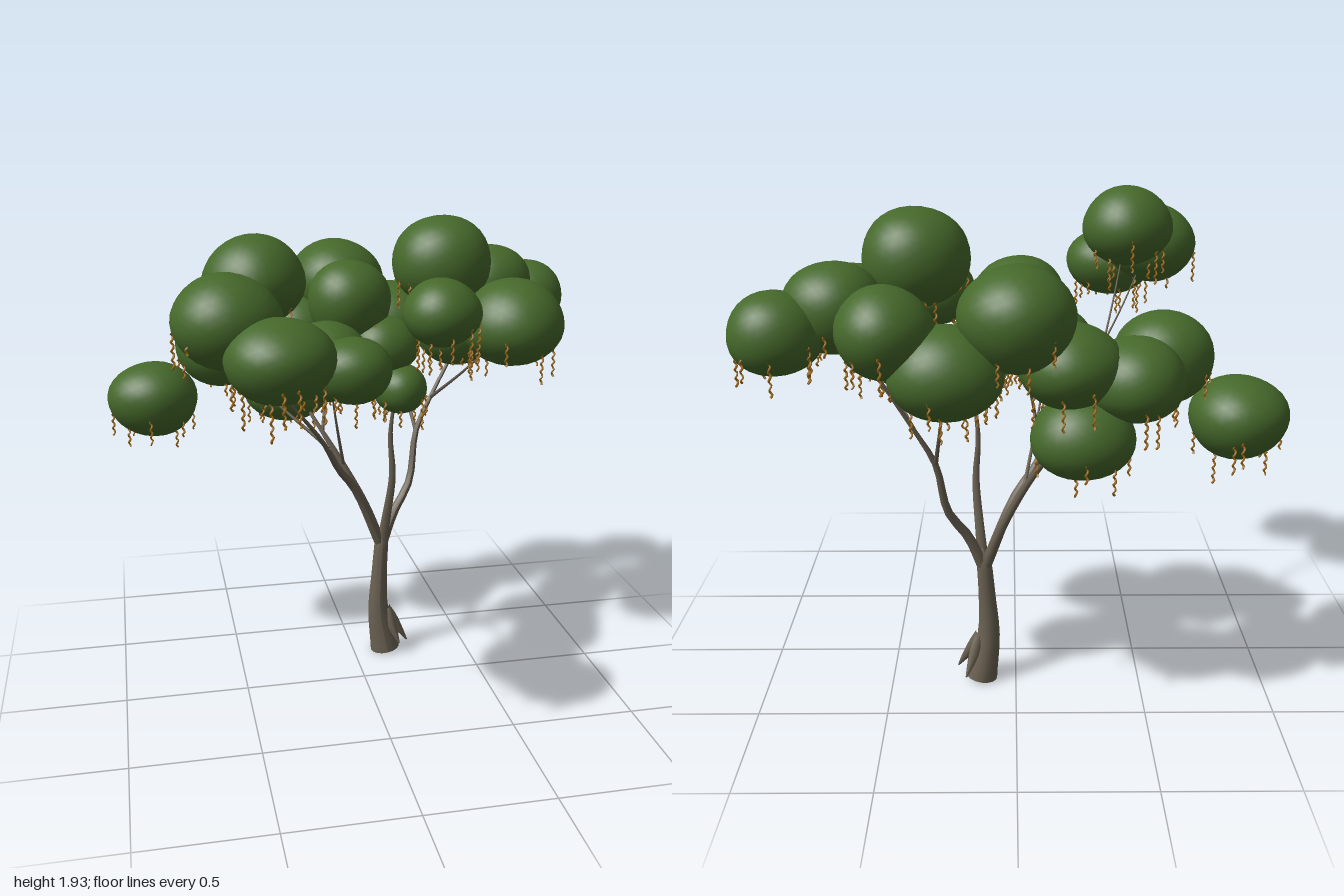
import * as THREE from 'three';
import { mergeVertices, mergeGeometries } from 'three/addons/utils/BufferGeometryUtils.js';

const { lerp } = THREE.MathUtils;
const curveThrough = (points) => new THREE.CatmullRomCurve3(points.map((p) => new THREE.Vector3(...p)));

// Seeded random numbers so the tree is always the same
function seeded(seed) {
  return () => {
    seed = (seed * 16807) % 2147483647;
    return seed / 2147483647;
  };
}

// Tube along a curve whose radius follows a rule of t, from 0 at the start to 1 at the end
function limbGeometry(curve, radius, sides = 7) {
  const steps = (curve.points.length - 1) * 4;
  const geo = new THREE.TubeGeometry(curve, steps, 1, sides, false);
  const pos = geo.attributes.position;
  const v = new THREE.Vector3();
  for (let i = 0; i <= steps; i++) {
    const t = curve.getUtoTmapping(i / steps);
    const centre = curve.getPoint(t);
    for (let j = 0; j <= sides; j++) {
      const n = i * (sides + 1) + j;
      v.fromBufferAttribute(pos, n).sub(centre).multiplyScalar(radius(t)).add(centre);
      pos.setXYZ(n, v.x, v.y, v.z);
    }
  }
  geo.computeVertexNormals();
  return geo;
}

// Slightly lumpy round leaf mass
function clumpGeometry(r, ry, phase) {
  let geo = new THREE.IcosahedronGeometry(1, 5);
  geo.deleteAttribute('normal');
  geo.deleteAttribute('uv');
  geo = mergeVertices(geo, 1e-4);
  const pos = geo.attributes.position;
  for (let i = 0; i < pos.count; i++) {
    const x = pos.getX(i), y = pos.getY(i), z = pos.getZ(i);
    const s = 1 + 0.02 * Math.sin(3 * x + phase) + 0.02 * Math.sin(3.5 * z + 2 * phase)
      + 0.015 * Math.sin(4 * y + 3 * phase);
    pos.setXYZ(i, x * s * r, y * s * ry, z * s * r);
  }
  geo.computeVertexNormals();
  return geo;
}

// Fringe of wavy strands hanging from the underside of a leaf mass
function vineGeometry([x, y, z, r, ry], rand) {
  const strands = [];
  for (let k = 0; k < 9; k++) {
    const a = (k + rand()) / 9 * Math.PI * 2;
    const d = 0.45 + 0.53 * Math.sqrt(rand());
    const top = [x + Math.cos(a) * d * r, y - Math.sqrt(1 - d * d) * ry + 0.01, z + Math.sin(a) * d * r];
    const length = 0.05 + 0.09 * rand();
    const bends = Math.ceil(length / 0.011);
    const path = [];
    for (let n = 0; n <= bends; n++) {
      const t = n * 2.1 + a;
      path.push([top[0] + 0.005 * Math.cos(t), top[1] - length * n / bends, top[2] + 0.005 * Math.sin(t)]);
    }
    strands.push(new THREE.TubeGeometry(curveThrough(path), bends * 2, 0.0042, 4, false));
  }
  return mergeGeometries(strands);
}

// Leaf masses: centre x, y, z, then radius across and radius up
const CLUMPS = [
  [-0.815, 1.18, -0.395, 0.183, 0.153],
  [-0.53, 1.4, -0.355, 0.19, 0.165],
  [-0.41, 1.36, -0.53, 0.183, 0.15],
  [-0.235, 1.16, -0.545, 0.185, 0.157],
  [-0.19, 1.42, -0.56, 0.185, 0.15],
  [0, 1.6, -0.61, 0.21, 0.185],
  [-0.01, 1.58, -0.25, 0.165, 0.165],
  [0.36, 1.735, -0.22, 0.202, 0.185],
  [0.615, 1.505, -0.055, 0.213, 0.17],
  [0.31, 1.57, 0, 0.157, 0.137],
  [-0.13, 1.37, -0.1, 0.165, 0.165],
  [-0.06, 1.365, 0.03, 0.16, 0.13],
  [0.18, 1.23, -0.15, 0.115, 0.1],
  [0.12, 1.4, -0.22, 0.15, 0.12],
  [0.24, 1.42, -0.64, 0.197, 0.17],
  [0.44, 1.56, -0.65, 0.167, 0.16],
  [0.45, 1.44, -0.29, 0.18, 0.15],
  [0.64, 1.6, -0.45, 0.175, 0.16],
  [0.825, 1.53, -0.53, 0.168, 0.15],
  [-0.455, 1.77, 0.285, 0.181, 0.155],
  [-0.57, 1.67, 0.475, 0.193, 0.165],
  [-0.415, 1.565, 0.65, 0.181, 0.145],
];

// Main limbs, each growing on from the fork
const FORK = [0.125, 0.5, -0.24];
const LIMBS = [
  [[0, 0.79, -0.18], [-0.08, 0.9, -0.13], [-0.16, 1.05, -0.05], [-0.35, 1.31, 0.1]],
  [[0.06, 0.68, -0.27], [-0.03, 0.86, -0.3], [-0.11, 1, -0.36], [-0.2, 1.15, -0.48]],
  [[0.14, 0.65, -0.21], [0.155, 0.85, -0.17], [0.145, 1.03, -0.17], [0.165, 1.22, -0.16]],
  [[0.18, 0.64, -0.26], [0.26, 0.77, -0.3], [0.3, 0.98, -0.35], [0.37, 1.12, -0.38], [0.62, 1.55, -0.45]],
];

// Twigs: limb number, place along it, number of the leaf mass reached, start radius
const TWIGS = [
  [0, 1, 19, 0.005], [0, 0.96, 20, 0.005], [0, 0.74, 1, 0.008],
  [1, 0.5, 10, 0.008], [1, 0.75, 5, 0.008], [2, 0.98, 13, 0.008],
  [3, 0.6, 14, 0.009], [3, 0.8, 8, 0.008],
];

export function createModel() {
  const material = (name, color) => {
    const mat = new THREE.MeshStandardMaterial({ color });
    mat.name = name;
    return mat;
  };
  const bark = material('bark', 0x6a6152);
  const leaf = material('leaf green', 0x46692b);
  const ochre = material('vine ochre', 0xa8711c);

  const tree = new THREE.Group();
  tree.name = 'tree';
  const add = (name, geo, mat) => {
    const mesh = new THREE.Mesh(geo, mat);
    mesh.name = name;
    tree.add(mesh);
    return mesh;
  };

  // Trunk, flared at the foot and closed in at the fork
  const trunk = curveThrough([[0.14, 0.015, -0.23], [0.11, 0.2, -0.23], [0.115, 0.38, -0.235], [0.13, 0.59, -0.24]]);
  add('trunk', limbGeometry(trunk, (t) => (0.03 + 0.034 * (1 - t) ** 2) * Math.min(1, 0.3 + 8 * (1 - t)), 16), bark);

  // Slanted cut under the trunk
  const foot = add('trunkFoot', new THREE.CircleGeometry(0.064, 16), bark);
  foot.position.copy(trunk.getPoint(0));
  foot.lookAt(foot.position.clone().sub(trunk.getTangent(0)));

  // Root spurs
  for (const [x, y, z] of [[0.235, 0.05, -0.21], [0.2, 0.05, -0.31], [0.19, 0.06, -0.16]]) {
    const spur = curveThrough([[0.15, 0.21, lerp(-0.23, z, 0.2)], [(0.14 + x) / 2, 0.13, (z - 0.23) / 2], [x, y, z]]);
    add('rootSpur', limbGeometry(spur, (t) => 0.003 + 0.018 * Math.sin(Math.PI * (0.2 + 0.8 * t))), bark);
  }

  // Main limbs
  const limbs = LIMBS.map((points) => curveThrough([FORK, ...points]));
  limbs.forEach((curve) => add('limb', limbGeometry(curve, (t) => lerp(0.024, 0.005, t)), bark));

  // Twigs, sagging a little on the way to their leaf mass
  for (const [limb, place, clump, r] of TWIGS) {
    const start = limbs[limb].getPoint(place).toArray();
    const end = CLUMPS[clump].slice(0, 3);
    const middle = start.map((c, i) => lerp(c, end[i], 0.5) - (i === 1 ? 0.02 : 0));
    add('twig', limbGeometry(curveThrough([start, middle, end]), (t) => lerp(r, 0.002, t)), bark);
  }

  // Leaf masses and their hanging vines
  const rand = seeded(4217);
  CLUMPS.forEach((clump, i) => {
    const [x, y, z, r, ry] = clump;
    add('leafClump', clumpGeometry(r, ry, i * 1.7), leaf).position.set(x, y, z);
    add('hangingVines', vineGeometry(clump, rand), ochre);
  });

  return tree;
}
